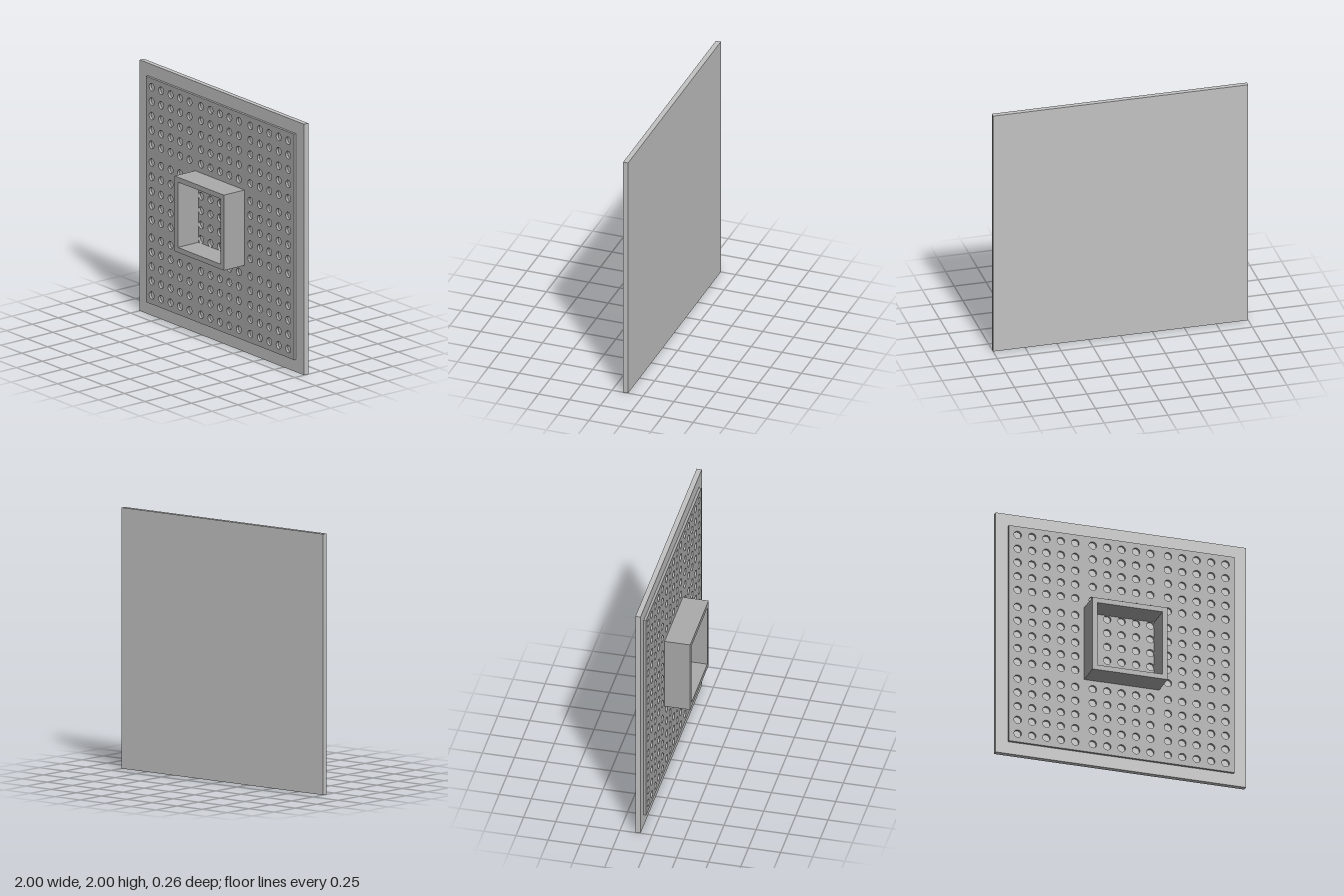
import * as THREE from 'three';
import { toCreasedNormals } from 'three/addons/utils/BufferGeometryUtils.js';

const TILE = 0.6, PITCH = 0.115, HOLE_RADIUS = 0.03;
const PLATE_FRONT = -0.09, TILE_FRONT = -0.07, FRAME_FRONT = 0.13;

function polygon(points) {
  return new THREE.Shape(points.map(([x, y]) => new THREE.Vector2(x, y)));
}

// Square tile with a 5 x 5 grid of round holes
function tileGeometry() {
  const h = TILE / 2;
  const shape = polygon([[-h, -h], [h, -h], [h, h], [-h, h]]);
  for (let i = -2; i <= 2; i++) {
    for (let j = -2; j <= 2; j++) {
      const hole = new THREE.Path();
      hole.absarc(i * PITCH, j * PITCH, HOLE_RADIUS, 0, Math.PI * 2, true);
      shape.holes.push(hole);
    }
  }
  const geometry = new THREE.ExtrudeGeometry(shape, {
    depth: TILE_FRONT - PLATE_FRONT, bevelEnabled: false, curveSegments: 12,
  });
  return toCreasedNormals(geometry, 0.6);
}

// One side of the frame, mitred at 45 degrees
function frameSideGeometry() {
  const o = 0.3, i = 0.26;
  return new THREE.ExtrudeGeometry(polygon([[-o, -o], [o, -o], [i, -i], [-i, -i]]), {
    depth: FRAME_FRONT - TILE_FRONT, bevelEnabled: false,
  });
}

export function createModel() {
  const model = new THREE.Group();
  model.name = 'perforatedWallPanel';
  const lightGrey = new THREE.MeshStandardMaterial({ name: 'lightGrey', color: 0xc2c2c2 });
  const midGrey = new THREE.MeshStandardMaterial({ name: 'midGrey', color: 0xaaaaaa });

  // Back plate
  const plate = new THREE.Mesh(new THREE.BoxGeometry(2, 2, 0.04), lightGrey);
  plate.name = 'backPlate';
  plate.position.set(0, 1, PLATE_FRONT - 0.02);
  model.add(plate);

  // Three by three perforated tiles
  const tiles = new THREE.Group();
  tiles.name = 'perforatedTiles';
  const tileGeo = tileGeometry();
  for (let row = -1; row <= 1; row++) {
    for (let col = -1; col <= 1; col++) {
      const tile = new THREE.Mesh(tileGeo, midGrey);
      tile.name = 'perforatedTile';
      tile.position.set(col * TILE, 1 + row * TILE, PLATE_FRONT);
      tiles.add(tile);
    }
  }
  model.add(tiles);

  // Open square frame standing out from the middle tile
  const frame = new THREE.Group();
  frame.name = 'centreFrame';
  frame.position.set(0, 1, TILE_FRONT);
  const sideGeo = frameSideGeometry();
  ['frameBottom', 'frameLeft', 'frameTop', 'frameRight'].forEach((name, k) => {
    const side = new THREE.Mesh(sideGeo, midGrey);
    side.name = name;
    side.rotation.z = k * Math.PI / 2;
    frame.add(side);
  });
  model.add(frame);

  return model;
}
